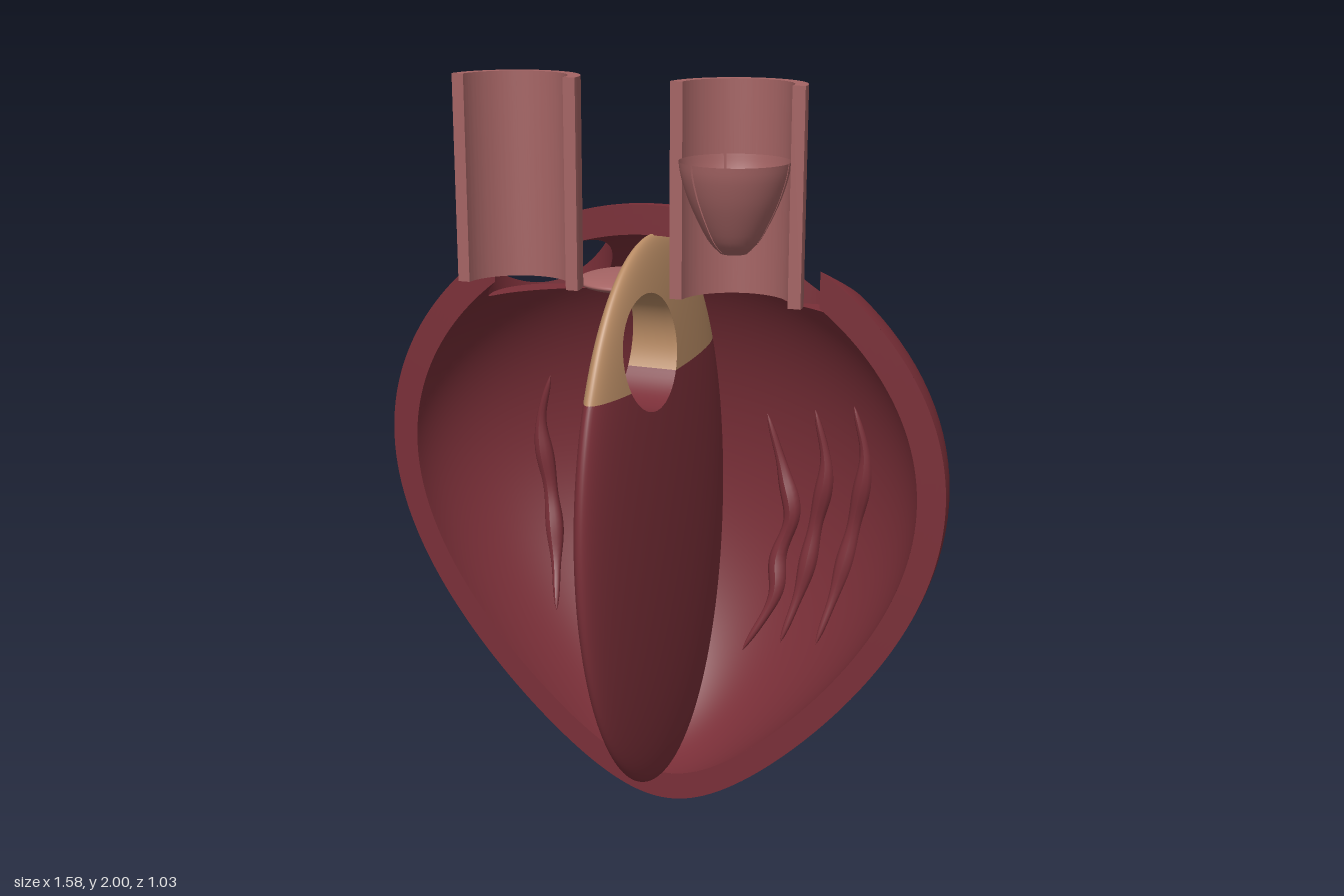
import * as THREE from 'three';
import { mergeVertices, toCreasedNormals } from 'three/addons/utils/BufferGeometryUtils.js';

const CY = 0.836, CZ = 0.025, H = 0.835, D = 0.54, INNER = 0.907;
const HOLE = { x: 0.355, z: -0.115, r: 0.17, floor: 1.38 };
const SPLIT = 1.245;

const width = t => 0.775 + 0.17 * t - 0.14 * t * t;     // taper towards the tip
const lean = t => 0.03 * ((1 - t) / 2) ** 2;            // tip leans to one side

// Point on the tapered body; k scales it about its centre
function bodyPoint(k, theta, phi) {
  const t = Math.cos(theta), s = Math.sin(theta);
  const x = width(t) * s * Math.cos(phi);
  const groove = k === 1 ? 1 - 0.012 * Math.exp(-((x / 0.035) ** 2)) : 1;
  return [k * x + lean(t), CY + k * H * t, CZ - k * D * s * Math.sin(phi) * groove];
}

// Negative inside the body, positive outside
function bodyField(k, x, y, z) {
  const t = (y - CY) / (k * H);
  return ((x - lean(t)) / (k * width(t))) ** 2 + ((z - CZ) / (k * D)) ** 2 + t * t - 1;
}

// Negative inside the septum
function septumField(x, y, z) {
  const t = (y - 0.84) / 0.757;
  return ((x - lean(t)) / 0.08) ** 2 + t * t + ((z - 0.022) / 0.49) ** 2 - 1;
}

// Positive outside both vessel openings
function outsideHoles(x, y, z) {
  const d = Math.hypot(Math.abs(x) - HOLE.x, z - HOLE.z) - HOLE.r;
  return Math.max(d, HOLE.floor - y);
}
const outsideSeptumHole = (x, y, z) => Math.hypot(z - 0.157, y - 1.32) - 0.15;

// Sheet from a function of u, v in 0..1
function sheet(nu, nv, fn) {
  const pos = [], idx = [];
  for (let i = 0; i <= nu; i++) for (let j = 0; j <= nv; j++) pos.push(...fn(i / nu, j / nv));
  for (let i = 0; i < nu; i++) for (let j = 0; j < nv; j++) {
    const a = i * (nv + 1) + j, b = a + nv + 1;
    idx.push(a, a + 1, b, b, a + 1, b + 1);
  }
  const g = new THREE.BufferGeometry();
  g.setAttribute('position', new THREE.Float32BufferAttribute(pos, 3));
  g.setIndex(idx);
  return g;
}

// Keep the part of a surface where every field is positive
function clip(geometry, ...fields) {
  const p = geometry.attributes.position, index = geometry.index;
  let tris = [];
  for (let i = 0; i < index.count; i += 3) {
    tris.push([0, 1, 2].map(k => new THREE.Vector3().fromBufferAttribute(p, index.getX(i + k))));
  }
  for (const f of fields) {
    const next = [];
    for (const tri of tris) {
      const val = tri.map(v => f(v.x, v.y, v.z)), poly = [];
      for (let a = 0; a < 3; a++) {
        const b = (a + 1) % 3;
        if (val[a] >= 0) poly.push(tri[a]);
        if ((val[a] >= 0) !== (val[b] >= 0)) {
          poly.push(tri[a].clone().lerp(tri[b], val[a] / (val[a] - val[b])));
        }
      }
      for (let k = 2; k < poly.length; k++) next.push([poly[0], poly[k - 1], poly[k]]);
    }
    tris = next;
  }
  const g = new THREE.BufferGeometry();
  g.setAttribute('position', new THREE.Float32BufferAttribute(tris.flat().flatMap(v => v.toArray()), 3));
  const merged = mergeVertices(g, 1e-5);
  merged.computeVertexNormals();
  return merged;
}

// Tapered, wavy muscle ridge following the inner wall
function ridgeGeometry(points, side) {
  const path = new THREE.CatmullRomCurve3(points.map(([x, y]) => {
    const t = (y - CY) / (INNER * H);
    const q = 1 - t * t - ((x * side - lean(t)) / (INNER * width(t))) ** 2;
    return new THREE.Vector3(x * side, y, CZ - INNER * D * Math.sqrt(Math.max(q, 0)) + 0.006);
  }));
  const n = 40, m = 10, g = new THREE.TubeGeometry(path, n, 0.03, m);
  const p = g.attributes.position, v = new THREE.Vector3();
  for (let i = 0; i <= n; i++) {
    const u = i / n, c = path.getPointAt(u);
    const s = Math.sin(Math.PI * u) ** 0.7 * (0.85 + 0.15 * Math.cos(u * 19));
    for (let j = 0; j <= m; j++) {
      const k = i * (m + 1) + j;
      v.fromBufferAttribute(p, k).sub(c).multiplyScalar(s).add(c);
      p.setXYZ(k, v.x, v.y, v.z);
    }
  }
  g.computeVertexNormals();
  return g;
}

export function createModel() {
  const material = (name, color) => {
    const m = new THREE.MeshStandardMaterial({ color, side: THREE.DoubleSide });
    m.name = name;
    return m;
  };
  const muscle = material('muscle red', 0x7a2f38);
  const vessel = material('vessel pink', 0xa56464);
  const membrane = material('membrane tan', 0xb88b64);

  const model = new THREE.Group();
  model.name = 'heartCutaway';
  const add = (name, geometry, mat, parent = model) => {
    const mesh = new THREE.Mesh(geometry, mat);
    mesh.name = name;
    parent.add(mesh);
    return mesh;
  };

  // Back half of the muscle wall
  const wall = new THREE.Group();
  wall.name = 'muscleWall';
  model.add(wall);
  for (const [name, k] of [['outerWall', 1], ['innerWall', INNER]]) {
    const g = sheet(72, 96, (u, v) => bodyPoint(k, u * Math.PI, v * Math.PI));
    add(name, clip(g, outsideHoles), muscle, wall);
  }
  for (const phi of [0, Math.PI]) {
    const g = sheet(96, 6, (u, v) => bodyPoint(INNER + (1 - INNER) * v * 0.99999, u * Math.PI, phi));
    add('cutRim', clip(g, outsideHoles), muscle, wall);
  }

  // Cut sides and ledges of the two vessel openings
  const inWall = [
    (x, y, z) => -bodyField(1, x, y, z),
    (x, y, z) => bodyField(INNER, x, y, z),
    (x, y, z) => CZ - z,
  ];
  for (const side of [-1, 1]) {
    const tube = new THREE.CylinderGeometry(HOLE.r, HOLE.r, 0.4, 64, 24, true);
    tube.translate(side * HOLE.x, HOLE.floor + 0.2, HOLE.z);
    add('openingSide', clip(tube, ...inWall), muscle, wall);
    const ledge = sheet(16, 64, (u, v) => [
      side * HOLE.x + HOLE.r * u * Math.cos(v * 2 * Math.PI), HOLE.floor,
      HOLE.z + HOLE.r * u * Math.sin(v * 2 * Math.PI)]);
    add('openingLedge', clip(ledge, ...inWall), muscle, wall);
  }

  // Septum with a tan upper part and a round hole through it
  const septum = new THREE.Group();
  septum.name = 'septum';
  model.add(septum);
  const septumSkin = sheet(80, 96, (u, v) => {
    const t = Math.cos(u * Math.PI), s = Math.sin(u * Math.PI), a = v * 2 * Math.PI;
    return [0.08 * s * Math.cos(a) + lean(t), 0.84 + 0.757 * t, 0.022 - 0.49 * s * Math.sin(a)];
  });
  const holeSide = new THREE.CylinderGeometry(0.15, 0.15, 0.2, 64, 16, true);
  holeSide.rotateZ(Math.PI / 2).translate(0, 1.32, 0.157);
  const above = (x, y) => y - SPLIT, below = (x, y) => SPLIT - y;
  for (const [name, mat, half] of [['upper', membrane, above], ['lower', muscle, below]]) {
    add(name + 'Septum', clip(septumSkin, outsideSeptumHole, half), mat, septum);
    add(name + 'HoleSide', clip(holeSide, (x, y, z) => -septumField(x, y, z), half), mat, septum);
  }

  // Muscle ridges, three in each chamber
  const ridges = [
    [[0.455, 1.1], [0.49, 0.95], [0.465, 0.76], [0.435, 0.6], [0.39, 0.42]],
    [[0.325, 1.06], [0.36, 0.89], [0.335, 0.72], [0.31, 0.55], [0.265, 0.38]],
    [[0.17, 1.02], [0.225, 0.84], [0.255, 0.73], [0.22, 0.6], [0.225, 0.5], [0.145, 0.33]],
  ];
  for (const side of [-1, 1]) {
    for (const points of ridges) add('muscleRidge', ridgeGeometry(points, side), muscle);
  }

  // Half-open vessels
  const ring = new THREE.Shape();
  ring.absarc(0, 0, 0.168, 0, Math.PI, false);
  ring.absarc(0, 0, 0.136, Math.PI, 0, true);
  const halfTube = toCreasedNormals(
    new THREE.ExtrudeGeometry(ring, { depth: 0.525, bevelEnabled: false, curveSegments: 36 })
      .rotateX(-Math.PI / 2), 0.5);
  for (const side of [-1, 1]) {
    add('vessel', halfTube, vessel).position.set(side * 0.292, 1.475, 0.213);
  }

  // Three-cusp valve in the left vessel
  const valve = new THREE.Group();
  valve.name = 'vesselValve';
  valve.position.set(0.29, 0, 0.213);
  model.add(valve);
  const cusp = new THREE.SplineCurve([[0.033, 1.6], [0.065, 1.635], [0.105, 1.715], [0.127, 1.78], [0.134, 1.82]]
    .map(([r, y]) => new THREE.Vector2(r, y))).getPoints(16);
  for (let i = 0; i < 3; i++) {
    const start = Math.PI / 2 + i * 2 * Math.PI / 3 + 0.025;
    add('valveCusp', new THREE.LatheGeometry(cusp, 20, start, 2 * Math.PI / 3 - 0.05), vessel, valve);
  }

  // Flat valve disc beside the septum
  const disc = new THREE.SphereGeometry(0.15, 48, 24).scale(1, 0.16, 1);
  add('chamberValveDisc', disc, vessel).position.set(-0.11, 1.443, -0.115);

  return model;
}
